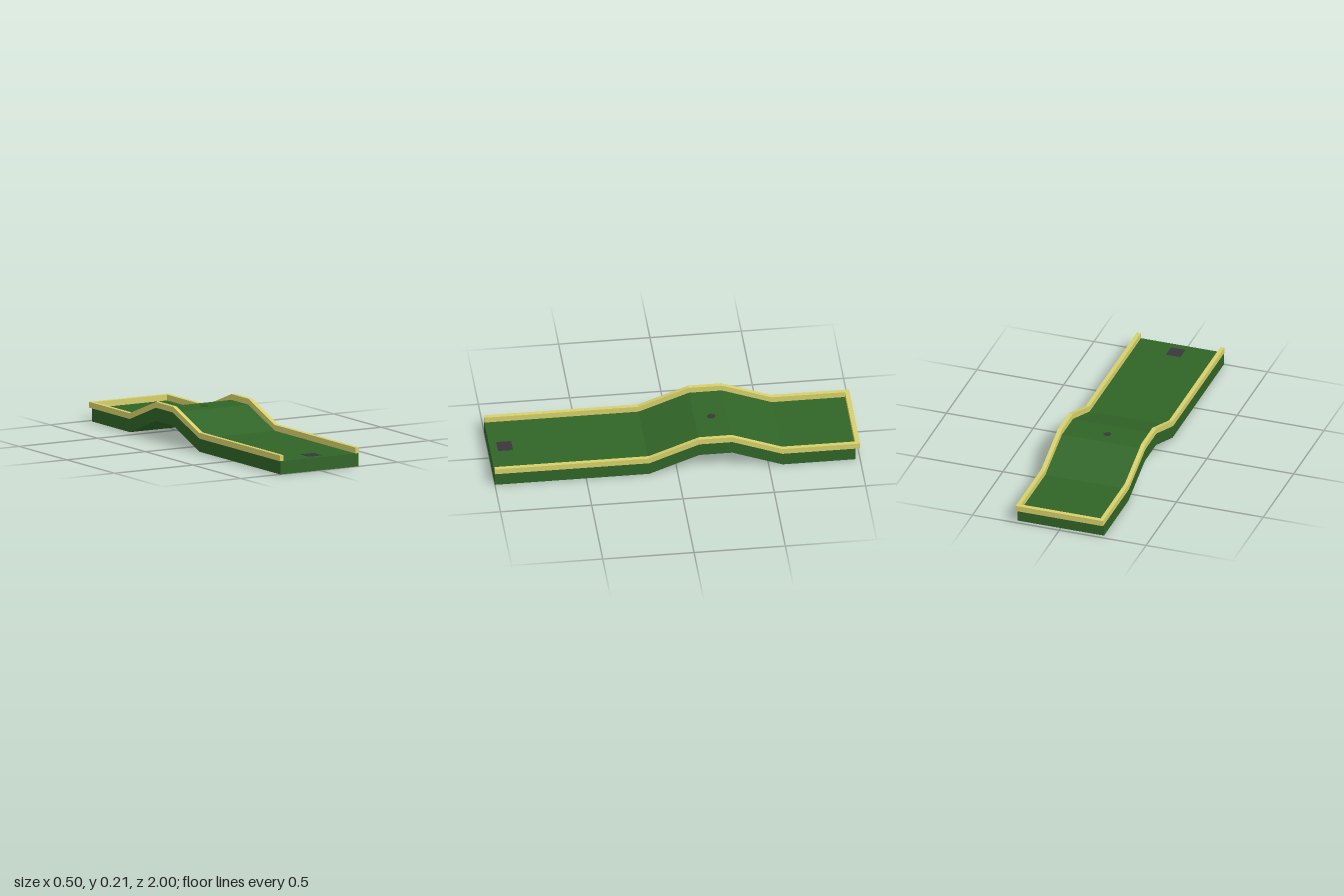
import * as THREE from 'three';

const mat = (name, color) => {
  const m = new THREE.MeshStandardMaterial({ color });
  m.name = name;
  return m;
};

// Course line in side view as [z, height of underside]
const FRONT = [[1, 0], [0.155, 0], [-0.12, 0.103]];
const BACK = [[-0.3, 0.103], [-0.575, 0], [-0.975, 0]];
const THICK = 0.073, RAIL_TOP = 0.105, HALF = 0.249, RAIL_IN = 0.229, RAIL_OUT = 0.252;
const HOLE_Z = -0.213, HOLE_R = 0.023;

// Band between two heights above the course line, extruded across x0..x1
function band(line, low, high, x0, x1) {
  const pts = [
    ...line.map(([z, y]) => new THREE.Vector2(z, y + low)),
    ...[...line].reverse().map(([z, y]) => new THREE.Vector2(z, y + high)),
  ];
  const geo = new THREE.ExtrudeGeometry(new THREE.Shape(pts), { depth: x1 - x0, bevelEnabled: false });
  return geo.rotateY(-Math.PI / 2).translate(x1, 0, 0);
}

export function createModel() {
  const green = mat('turf green', 0x306527);
  const yellow = mat('rail yellow', 0xd6d06a);
  const dark = mat('dark grey', 0x39373b);
  const group = new THREE.Group();
  group.name = 'miniGolfLane';
  const add = (name, geo, material) => {
    const mesh = new THREE.Mesh(geo, material);
    mesh.name = name;
    group.add(mesh);
    return mesh;
  };

  // Lane before and after the raised deck
  add('frontLane', band(FRONT, 0, THICK, -HALF, HALF), green);
  add('backLane', band(BACK, 0, THICK, -HALF, HALF), green);

  // Raised deck with the hole cut through it
  const [z0, z1] = [-0.3, -0.12];
  const deck = new THREE.Shape([
    new THREE.Vector2(-HALF, z0), new THREE.Vector2(HALF, z0),
    new THREE.Vector2(HALF, z1), new THREE.Vector2(-HALF, z1),
  ]);
  deck.holes.push(new THREE.Path().absarc(0, HOLE_Z, HOLE_R, 0, Math.PI * 2, true));
  const deckGeo = new THREE.ExtrudeGeometry(deck, { depth: THICK, bevelEnabled: false, curveSegments: 12 });
  add('raisedDeck', deckGeo.rotateX(Math.PI / 2).translate(0, 0.103 + THICK, 0), green);

  // Dark cup disc inside the hole, facing up
  const cup = new THREE.CircleGeometry(0.02, 16).rotateX(-Math.PI / 2);
  add('holeCup', cup, dark).position.set(-0.003, 0.174, HOLE_Z);

  // Side rails follow the whole course, the end rail closes the back
  const railLine = [...FRONT, ...BACK.slice(0, 2), [-1, 0]];
  add('leftRail', band(railLine, THICK, RAIL_TOP, RAIL_IN, RAIL_OUT), yellow);
  add('rightRail', band(railLine, THICK, RAIL_TOP, -RAIL_OUT, -RAIL_IN), yellow);
  const end = new THREE.BoxGeometry(RAIL_IN * 2, RAIL_TOP - THICK, 0.025);
  add('endRail', end, yellow).position.set(0, (RAIL_TOP + THICK) / 2, -0.9875);

  // Tee mat
  const tee = new THREE.BoxGeometry(0.082, 0.003, 0.082);
  add('teeMat', tee, dark).position.set(0, THICK, 0.917);

  return group;
}
